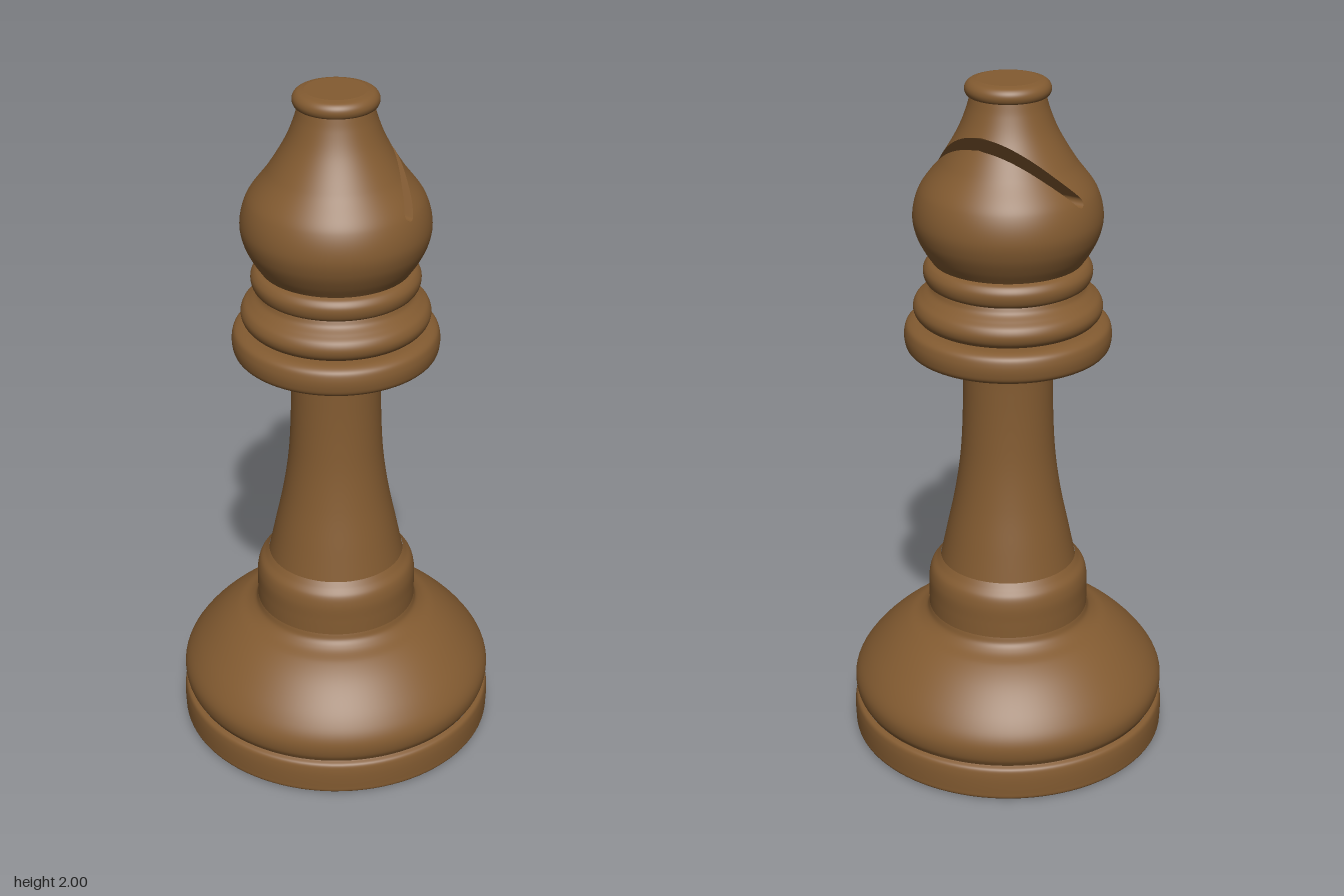
import * as THREE from 'three';

const wood = new THREE.MeshStandardMaterial({ color: 0x835b31 });
wood.name = 'brown wood';

const spline = (pts) =>
  new THREE.CatmullRomCurve3(pts.map(([r, y]) => new THREE.Vector3(r, y, 0)), false, 'centripetal');

// Turned part with a smooth profile of [radius, height], listed from the bottom up
function turned(name, pts, steps = 40) {
  const profile = spline(pts).getPoints(steps).map((p) => new THREE.Vector2(Math.max(p.x, 0), p.y));
  const mesh = new THREE.Mesh(new THREE.LatheGeometry(profile, 96), wood);
  mesh.name = name;
  return mesh;
}

// Flat face across the axis, facing up (+1) or down (-1)
function disc(name, r, y, dir) {
  const mesh = new THREE.Mesh(new THREE.CircleGeometry(r, 96), wood);
  mesh.rotation.x = -dir * Math.PI / 2;
  mesh.position.y = y;
  mesh.name = name;
  return mesh;
}

// Surface over rows of heights; point(y, t) gives a position, normal(y, t) is optional
function sheet(name, rows, cols, point, normal) {
  const pos = [], nor = [], idx = [];
  rows.forEach((y, i) => {
    for (let j = 0; j <= cols; j++) {
      pos.push(...point(y, j / cols));
      if (normal) nor.push(...normal(y, j / cols));
      if (i && j) {
        const d = i * (cols + 1) + j, c = d - 1, b = d - cols - 1, a = b - 1;
        idx.push(a, c, b, b, c, d);
      }
    }
  });
  const geo = new THREE.BufferGeometry();
  geo.setAttribute('position', new THREE.Float32BufferAttribute(pos, 3));
  geo.setIndex(idx);
  if (normal) geo.setAttribute('normal', new THREE.Float32BufferAttribute(nor, 3));
  else geo.computeVertexNormals();
  const mesh = new THREE.Mesh(geo, wood);
  mesh.name = name;
  return mesh;
}

// Bulb-shaped head with a slanted, round-bottomed slot cut through from front to back
function createHead() {
  const head = new THREE.Group();
  head.name = 'head';
  const curve = spline([[0.212, 1.49], [0.235, 1.525], [0.256, 1.57], [0.264, 1.62], [0.247, 1.69],
    [0.187, 1.775], [0.137, 1.86], [0.113, 1.92], [0.102, 1.96]]).getPoints(300);
  const radius = (y) => {
    let k = 1;
    while (k < 300 && curve[k].y < y) k++;
    const a = curve[k - 1], b = curve[k];
    return a.x + (b.x - a.x) * (y - a.y) / (b.y - a.y);
  };

  // Slot edges: a capsule centred on (cx, cy), rising along (dx, dy)
  const cx = 0.024, cy = 1.7, dx = 0.62, dy = 0.785, h = 0.0155;
  const edge = (y, s) => {
    const startY = cy - s * dx * h;
    const x = y > startY
      ? cx + s * dy * h + (y - startY) * dx / dy
      : cx + s * Math.sqrt(Math.max(0, h * h - (y - cy) ** 2));
    return Math.min(x, radius(y));
  };
  const angle = (y, s) => Math.acos(edge(y, s) / radius(y));
  const span = (a, b, n, pow = 1) =>
    Array.from({ length: n + 1 }, (_, i) => a + (b - a) * (i / n) ** pow);
  const low = span(1.49, cy - h, 24), cut = span(cy - h, 1.885, 90, 1.4), top = span(1.885, 1.96, 12);
  const rows = [...low, ...cut.slice(1), ...top.slice(1)];
  // Rows below the point where a slot edge leaves the head
  const inside = (list, s) => {
    const n = list.findIndex((y) => y > cy && edge(y, s) >= radius(y));
    return list.slice(0, n + 1);
  };

  const shell = (name, list, cols, theta) => head.add(sheet(name, list, cols,
    (y, t) => {
      const a = theta(y, t), r = radius(y);
      return [r * Math.cos(a), y, r * Math.sin(a)];
    },
    (y, t) => {
      const a = theta(y, t), e = 0.004;
      const y0 = Math.max(1.49, y - e), y1 = Math.min(1.96, y + e);
      const slope = (radius(y1) - radius(y0)) / (y1 - y0), l = Math.hypot(1, slope);
      return [Math.cos(a) / l, -slope / l, Math.sin(a) / l];
    }));
  shell('headMain', rows, 72, (y, t) => {
    const a = angle(y, -1);
    return a + t * 2 * (Math.PI - a);
  });
  shell('headLip', inside(rows, 1), 48, (y, t) => angle(y, 1) * (2 * t - 1));

  // Slot walls
  for (const s of [-1, 1]) {
    head.add(sheet(s < 0 ? 'slotInnerWall' : 'slotOuterWall', inside(cut, s), 8, (y, t) => {
      const x = edge(y, s), z = Math.sqrt(Math.max(0, radius(y) ** 2 - x * x));
      return [x, y, -s * z * (2 * t - 1)];
    }));
  }
  return head;
}

export function createModel() {
  const model = new THREE.Group();
  model.name = 'chessPiece';
  model.add(
    disc('underside', 0.455, 0, -1),
    turned('basePlinth', [[0.455, 0], [0.464, 0.008], [0.466, 0.025], [0.466, 0.08], [0.461, 0.1], [0.448, 0.108]]),
    turned('baseDome', [[0.447, 0.107], [0.459, 0.13], [0.463, 0.165], [0.455, 0.195], [0.43, 0.235], [0.39, 0.28],
      [0.345, 0.32], [0.3, 0.35], [0.262, 0.368], [0.242, 0.385], [0.235, 0.405]], 60),
    turned('collar', [[0.235, 0.405], [0.235, 0.45], [0.234, 0.5], [0.226, 0.53], [0.21, 0.55], [0.199, 0.565]]),
    turned('stem', [[0.199, 0.56], [0.18, 0.65], [0.155, 0.77], [0.139, 0.88], [0.132, 0.98], [0.129, 1.1],
      [0.13, 1.18], [0.135, 1.205], [0.148, 1.222]], 60),
    turned('lowerRing', [[0.14, 1.223], [0.2, 1.223], [0.27, 1.224], [0.287, 1.235], [0.293, 1.255], [0.293, 1.28],
      [0.286, 1.3], [0.268, 1.311], [0.235, 1.315]], 60),
    turned('middleRing', [[0.235, 1.314], [0.25, 1.32], [0.263, 1.335], [0.267, 1.355], [0.259, 1.375],
      [0.24, 1.39], [0.22, 1.405], [0.212, 1.42]]),
    turned('upperRing', [[0.212, 1.42], [0.229, 1.43], [0.237, 1.45], [0.236, 1.468], [0.226, 1.483], [0.211, 1.491]]),
    createHead(),
    turned('capRim', [[0.1, 1.953], [0.112, 1.957], [0.118, 1.97], [0.116, 1.983], [0.106, 1.994], [0.085, 2]]),
    disc('capTop', 0.0852, 2, 1),
  );
  return model;
}
